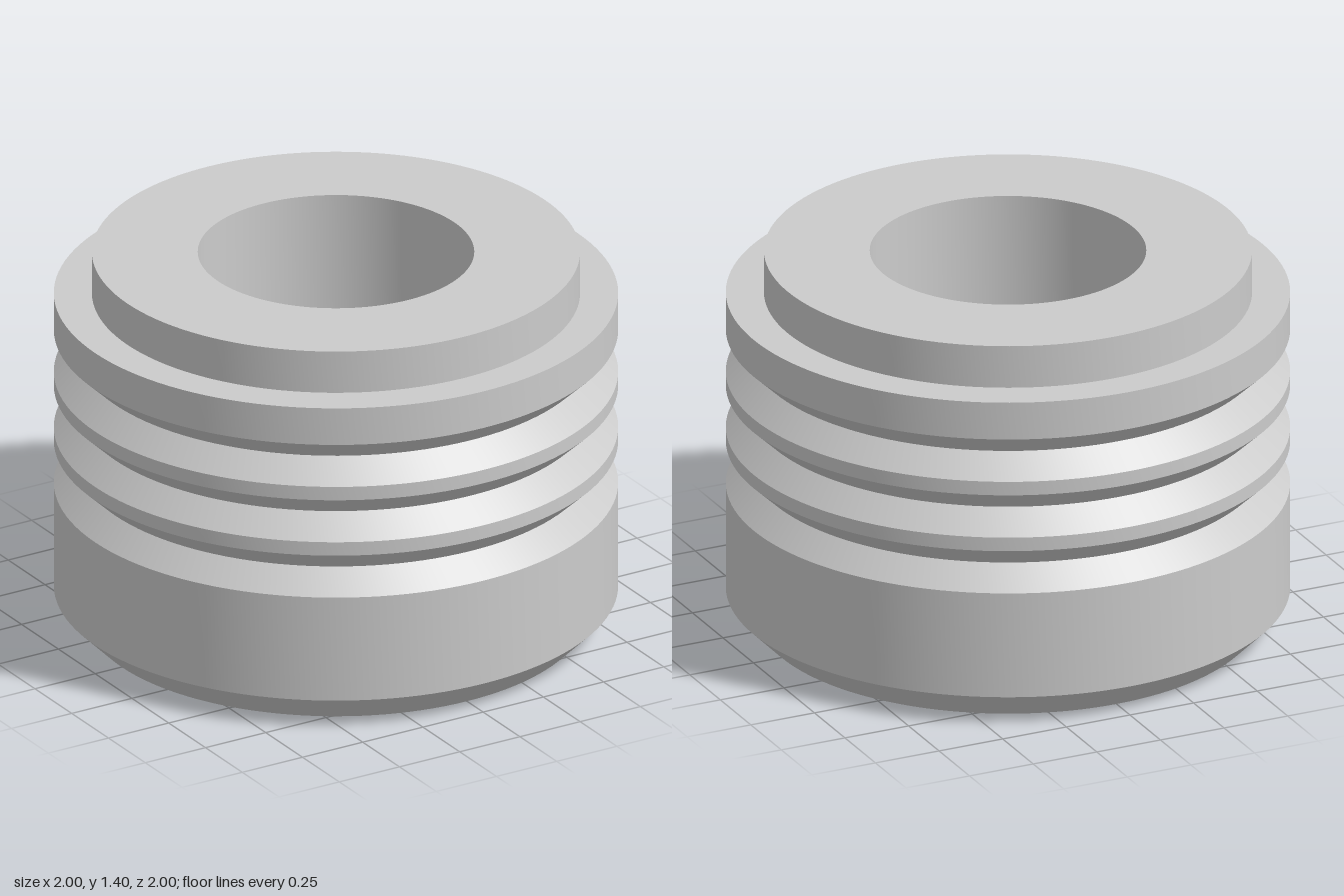
import * as THREE from 'three';
import { toCreasedNormals } from 'three/addons/utils/BufferGeometryUtils.js';

export function createModel() {
  const group = new THREE.Group();
  const material = new THREE.MeshStandardMaterial({ color: 0xcccccc });

  // Chamfered base
  const profile = [[0, 0], [0.89, 0], [1, 0.11]];

  // Three V grooves around the side
  for (const y of [0.51, 0.725, 0.94]) {
    profile.push([1, y], [0.915, y + 0.083], [1, y + 0.163]);
  }

  // Upper rim and raised collar
  profile.push([1, 1.245], [0.865, 1.245], [0.865, 1.405]);

  // Stepped blind bore, down to its floor
  profile.push([0.49, 1.405], [0.49, 0.5], [0.325, 0.5], [0.325, 0.25], [0, 0.25]);

  const points = profile.map(([r, y]) => new THREE.Vector2(r, y));
  const lathe = new THREE.LatheGeometry(points, 128);
  const body = new THREE.Mesh(toCreasedNormals(lathe, 0.4), material);
  body.name = 'groovedPlugBody';
  group.add(body);
  return group;
}
